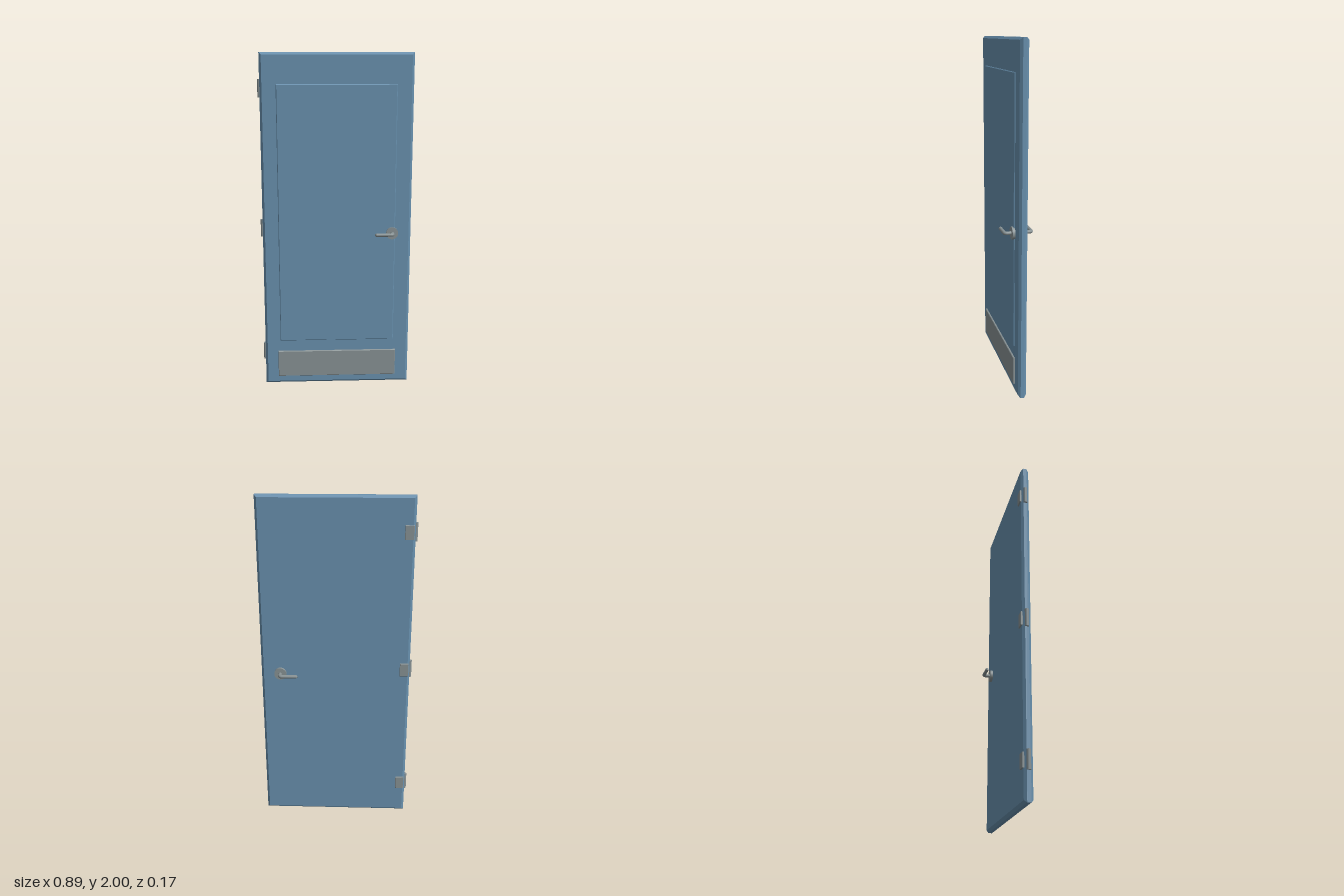
import * as THREE from 'three';

const paint = new THREE.MeshStandardMaterial({ color: 0x6890ae });
paint.name = 'blue paint';
const metal = new THREE.MeshStandardMaterial({ color: 0x889294 });
metal.name = 'brushed metal';

// Box spanning the given limits, with chamfered edges
function slab(name, material, [x0, x1], [y0, y1], [z0, z1], bevel) {
  const s = new THREE.Shape();
  s.moveTo(x0 + bevel, y0 + bevel);
  s.lineTo(x1 - bevel, y0 + bevel);
  s.lineTo(x1 - bevel, y1 - bevel);
  s.lineTo(x0 + bevel, y1 - bevel);
  s.closePath();
  const geo = new THREE.ExtrudeGeometry(s, {
    depth: z1 - z0 - 2 * bevel, bevelEnabled: true,
    bevelSize: bevel, bevelThickness: bevel, bevelSegments: 1,
  });
  geo.translate(0, 0, z0 + bevel);
  const mesh = new THREE.Mesh(geo, material);
  mesh.name = name;
  return mesh;
}

// Round rose, bent lever and its chamfered tip, pointing to +z
function handle(name) {
  const g = new THREE.Group();
  g.name = name;
  const rose = new THREE.Mesh(new THREE.CylinderGeometry(0.036, 0.036, 0.02, 32), metal);
  rose.name = 'rose';
  rose.rotation.x = Math.PI / 2;
  rose.position.z = 0.03;
  g.add(rose);

  const r = 0.0105, z = 0.0765, bend = 0.013;
  const path = new THREE.CurvePath();
  const v = (x, zz) => new THREE.Vector3(x, 0, zz);
  path.add(new THREE.LineCurve3(v(0, 0.03), v(0, z - bend)));
  path.add(new THREE.QuadraticBezierCurve3(v(0, z - bend), v(0, z), v(-bend, z)));
  path.add(new THREE.LineCurve3(v(-bend, z), v(-0.099, z)));
  const lever = new THREE.Mesh(new THREE.TubeGeometry(path, 40, r, 12), metal);
  lever.name = 'lever';
  g.add(lever);

  const tip = new THREE.Mesh(new THREE.CylinderGeometry(0.005, r, 0.006, 12), metal);
  tip.name = 'leverTip';
  tip.rotation.z = Math.PI / 2;
  tip.position.set(-0.102, 0, z);
  g.add(tip);
  g.position.set(0.332, 0.957, 0);
  return g;
}

export function createModel() {
  const door = new THREE.Group();
  door.name = 'door';

  // Leaf with its raised panel and kick plate
  door.add(slab('doorLeaf', paint, [-0.435, 0.445], [0, 2], [-0.024, 0.024], 0.0135));
  door.add(slab('raisedPanel', paint, [-0.342, 0.35], [0.283, 1.825], [0.018, 0.03], 0.004));
  door.add(slab('kickPlate', metal, [-0.357, 0.365], [0.05, 0.215], [0.018, 0.034], 0.003));

  // A handle on each side, the back one mirrored by a half turn about x
  const front = handle('frontHandle');
  const back = handle('backHandle');
  back.rotation.x = Math.PI;
  door.add(front, back);

  // Hinges
  for (const y of [0.21, 0.99, 1.802]) {
    const hinge = new THREE.Group();
    hinge.name = 'hinge';
    hinge.add(slab('hingeLeaf', metal, [-0.427, -0.376], [y - 0.04, y + 0.04], [-0.032, -0.02], 0.002));
    const pin = new THREE.Mesh(new THREE.CylinderGeometry(0.0115, 0.0115, 0.104, 16), metal);
    pin.name = 'hingeKnuckle';
    pin.position.set(-0.4355, y, 0);
    hinge.add(pin);
    door.add(hinge);
  }
  return door;
}
